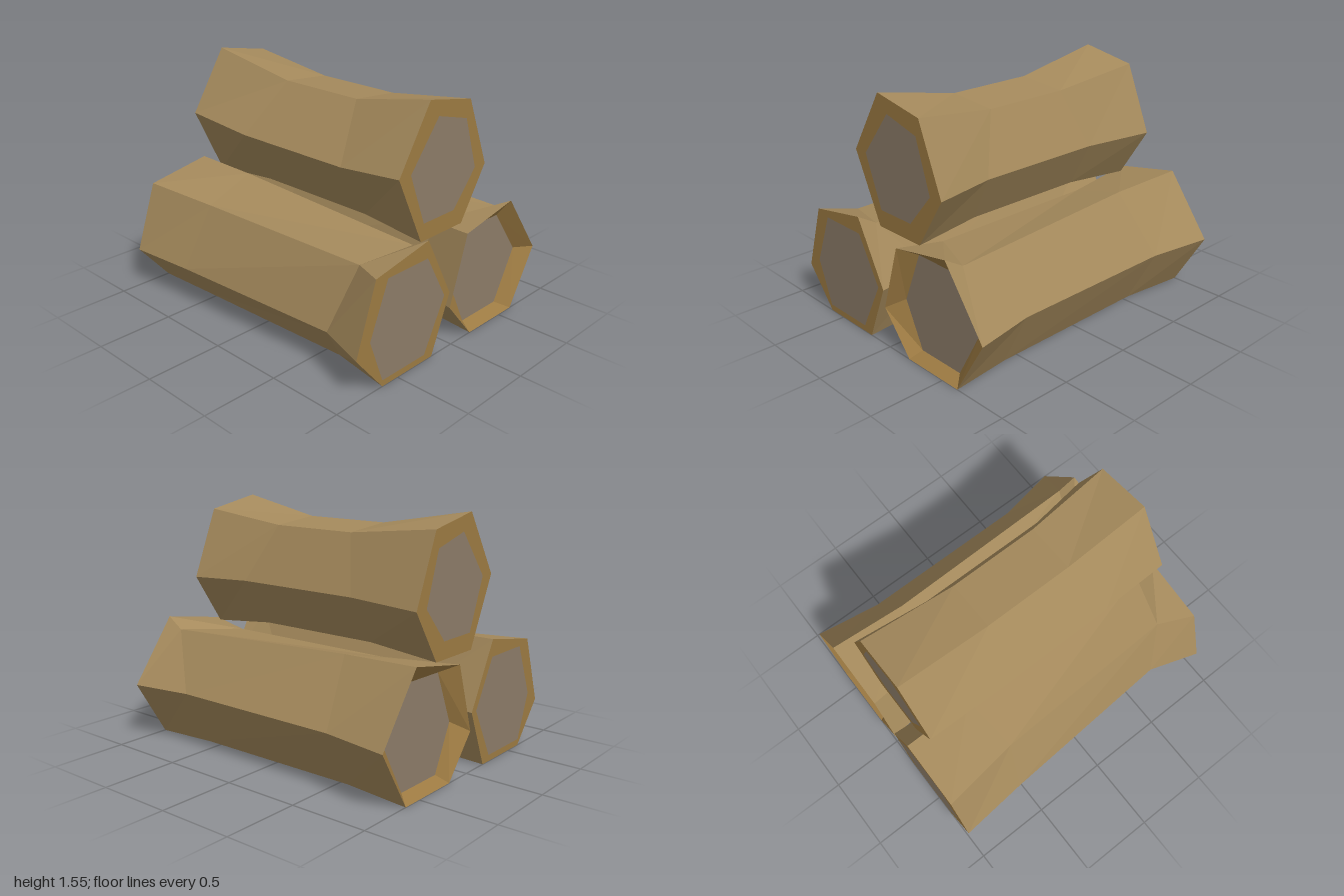
import * as THREE from 'three';

const bark = new THREE.MeshStandardMaterial({ color: 0xa58a5c, flatShading: true });
const rimWood = new THREE.MeshStandardMaterial({ color: 0x9c7a42, flatShading: true });
const cutWood = new THREE.MeshStandardMaterial({ color: 0x8c7c68, flatShading: true });

// Flat-shaded mesh from quads or triangles, each listed anticlockwise
function facetMesh(name, faces, material) {
  const pos = [];
  for (const f of faces) {
    for (let k = 1; k < f.length - 1; k++) pos.push(...f[0], ...f[k], ...f[k + 1]);
  }
  const g = new THREE.BufferGeometry();
  g.setAttribute('position', new THREE.Float32BufferAttribute(pos, 3));
  g.computeVertexNormals();
  const mesh = new THREE.Mesh(g, material);
  mesh.name = name;
  return mesh;
}

// One six-sided log along x.
// edges: [end z, end y, then x, z, y at two points along the waist]
// cut: [z, y] corners of the sawn face; depth: how far it is sunk in
function makeLog(name, half, edges, cut, depth) {
  const log = new THREE.Group();
  log.name = name;
  const n = edges.length;
  const lines = edges.map(([z, y, x1, z1, y1, x2, z2, y2]) =>
    [[-half, y, z], [x1, y1, z1], [x2, y2, z2], [half, y, z]]);

  const sides = [], rims = [], caps = [];
  for (let i = 0; i < n; i++) {
    const j = (i + 1) % n, a = lines[i], b = lines[j];
    for (let s = 0; s < 3; s++) {
      sides.push([a[s], a[s + 1], b[s + 1]], [a[s], b[s + 1], b[s]]);
    }
    for (const side of [-1, 1]) {
      const end = side < 0 ? 0 : 3;
      const inner = (k) => [side * (half - depth), cut[k][1], cut[k][0]];
      const rim = [b[end], a[end], inner(i), inner(j)];
      rims.push(side > 0 ? rim : rim.reverse());
    }
  }
  for (const side of [-1, 1]) {
    const face = cut.map(([z, y]) => [side * (half - depth), y, z]);
    caps.push(side > 0 ? face.reverse() : face);
  }
  log.add(facetMesh('bark', sides, bark));
  log.add(facetMesh('endRims', rims, rimWood));
  log.add(facetMesh('sawnEnds', caps, cutWood));
  return log;
}

export function createModel() {
  const group = new THREE.Group();
  group.name = 'logPile';

  group.add(makeLog('frontLog', 1, [
    [0.70, 0.70, -0.48, 0.63, 0.67, 0.78, 0.59, 0.67],
    [0.26, 0.78, -0.53, 0.26, 0.775, 0.88, 0.25, 0.71],
    [0.04, 0.37, -0.50, 0.08, 0.37, 0.60, 0.09, 0.37],
    [0.19, 0.00, -0.55, 0.22, 0.00, 0.60, 0.23, 0.00],
    [0.63, 0.00, -0.58, 0.61, 0.00, 0.60, 0.56, 0.00],
    [0.85, 0.26, -0.54, 0.81, 0.26, 0.67, 0.74, 0.26],
  ], [[0.60, 0.67], [0.26, 0.67], [0.09, 0.37], [0.26, 0.04], [0.63, 0.04], [0.74, 0.33]], 0));

  group.add(makeLog('backLog', 1, [
    [-0.11, 0.70, -0.48, -0.16, 0.67, 0.70, -0.17, 0.67],
    [-0.55, 0.78, -0.48, -0.52, 0.76, 0.88, -0.56, 0.71],
    [-0.85, 0.37, -0.56, -0.78, 0.37, 0.60, -0.78, 0.37],
    [-0.63, 0.00, -0.55, -0.58, 0.00, 0.60, -0.59, 0.00],
    [-0.19, 0.00, -0.55, -0.22, 0.00, 0.60, -0.23, 0.00],
    [0.03, 0.26, -0.54, -0.02, 0.26, 0.67, -0.05, 0.26],
  ], [[-0.22, 0.67], [-0.52, 0.67], [-0.74, 0.37], [-0.56, 0.04], [-0.22, 0.04], [-0.08, 0.33]], 0.08));

  group.add(makeLog('topLog', 0.89, [
    [0.15, 1.55, -0.26, 0.14, 1.44, 0.33, 0.14, 1.44],
    [-0.22, 1.48, -0.26, -0.19, 1.41, 0.33, -0.19, 1.41],
    [-0.40, 1.04, -0.38, -0.34, 1.05, 0.49, -0.34, 1.05],
    [-0.19, 0.71, -0.40, -0.17, 0.75, 0.45, -0.17, 0.75],
    [0.19, 0.71, -0.40, 0.18, 0.75, 0.45, 0.18, 0.75],
    [0.40, 1.15, -0.39, 0.40, 1.11, 0.45, 0.40, 1.11],
  ], [[0.07, 1.44], [-0.19, 1.37], [-0.30, 1.04], [-0.11, 0.82], [0.17, 0.82], [0.30, 1.15]], 0));

  return group;
}
